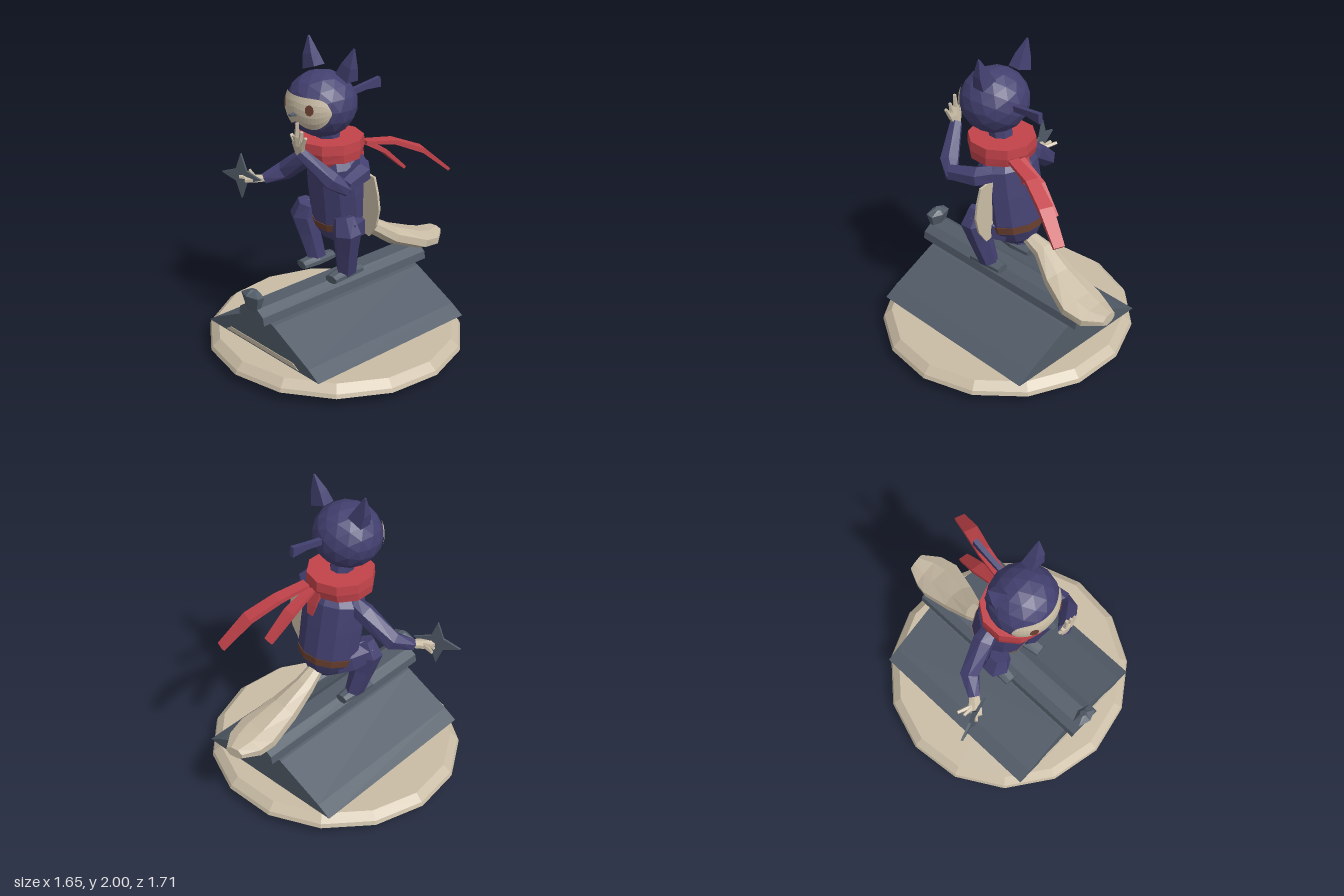
import * as THREE from 'three';

const mat = (name, color) => Object.assign(new THREE.MeshStandardMaterial({ color }), { name });
const V = (x, y, z) => new THREE.Vector3(x, y, z);
const UP_Y = V(0, 1, 0), UP_Z = V(0, 0, 1);

// Split the vertices so every facet is flat
function flat(geo) {
  const g = geo.index ? geo.toNonIndexed() : geo;
  g.computeVertexNormals();
  return g;
}

// Faceted solid through sections [x, y, z, halfWidth, halfHeight]
function loft(sections, sides, up = UP_Y) {
  const centers = sections.map(s => V(s[0], s[1], s[2]));
  const pos = [], idx = [], k = 1 / Math.cos(Math.PI / sides), last = sections.length - 1;
  centers.forEach((c, i) => {
    const t = centers[Math.min(i + 1, last)].clone().sub(centers[Math.max(i - 1, 0)]).normalize();
    const side = up.clone().cross(t).normalize(), over = t.clone().cross(side);
    for (let j = 0; j < sides; j++) {
      const a = ((j + 0.5) / sides) * Math.PI * 2;
      const p = c.clone().addScaledVector(side, Math.cos(a) * sections[i][3] * k)
        .addScaledVector(over, Math.sin(a) * (sections[i][4] ?? sections[i][3]) * k);
      pos.push(p.x, p.y, p.z);
    }
  });
  const first = pos.length / 3, end = first + 1;
  pos.push(...centers[0].toArray(), ...centers[last].toArray());
  for (let j = 0; j < sides; j++) {
    const n = (j + 1) % sides;
    for (let i = 0; i < last; i++) {
      const a = i * sides + j, b = i * sides + n;
      idx.push(a, b, b + sides, a, b + sides, a + sides);
    }
    idx.push(first, n, j, end, last * sides + j, last * sides + n);
  }
  const g = new THREE.BufferGeometry();
  g.setAttribute('position', new THREE.Float32BufferAttribute(pos, 3));
  g.setIndex(idx);
  return flat(g);
}

function extrude(points, depth, z) {
  const shape = new THREE.Shape(points.map(p => new THREE.Vector2(p[0], p[1])));
  return flat(new THREE.ExtrudeGeometry(shape, { depth, bevelEnabled: false }).translate(0, 0, z));
}

export function createModel() {
  const root = new THREE.Group();
  root.name = 'ninjaCatOnRoof';
  const navy = mat('navy cloth', 0x434070), red = mat('red scarf', 0xc2434a);
  const tan = mat('tan', 0xc9bca5), slate = mat('slate', 0x525c68), brown = mat('brown', 0x6a4030);
  const add = (name, geo, material) => {
    const m = new THREE.Mesh(geo, material);
    m.name = name;
    root.add(m);
    return m;
  };

  // Round base
  const basePoints = [[0, 0], [0.72, 0], [0.83, 0.06], [0.82, 0.085], [0.77, 0.13], [0, 0.13]];
  const base = new THREE.LatheGeometry(basePoints.map(p => new THREE.Vector2(...p)), 15);
  add('base', flat(base.scale(1, 1, 0.985).translate(0, 0, 0.03)), tan);

  // Roof with ridge beam and end finials
  add('roof', extrude([[-0.53, 0.15], [0.53, 0.15], [0.44, 0.205], [0.12, 0.365], [0, 0.4],
    [-0.12, 0.365], [-0.44, 0.205]], 1.24, -0.6), slate);
  add('gableTrim', extrude([[-0.35, 0.16], [0.35, 0.16], [0.3, 0.19], [-0.3, 0.19]], 0.006, 0.638), tan);
  add('ridgeBeam', extrude([[-0.12, 0.39], [0.12, 0.39], [0.11, 0.44], [0.055, 0.478],
    [-0.055, 0.478], [-0.11, 0.44]], 1.38, -0.67), slate);
  for (const z of [0.695, -0.65]) {
    add('finial', loft([[0, 0.45, z, 0.05, 0.02], [0, 0.555, z, 0.078, 0.045],
      [0, 0.585, z - 0.01, 0.02, 0.02]], 6, UP_Z), slate);
  }

  // Leaning body and belt
  const lean = y => -0.05 + 0.14 * (y - 0.72);
  const trunk = rows => loft(rows.map(([y, w, h]) => [0, y, lean(y), w, h]), 12, UP_Z);
  add('body', trunk([[0.71, 0.07, 0.08], [0.76, 0.135, 0.14], [0.83, 0.18, 0.17], [0.89, 0.195, 0.178],
    [1.08, 0.2, 0.17], [1.25, 0.195, 0.16], [1.32, 0.14, 0.12]]), navy);
  add('belt', trunk([[0.835, 0.187, 0.175], [0.885, 0.199, 0.182]]), brown);
  add('neck', loft([[0, 1.3, 0.06, 0.07], [0, 1.48, 0.1, 0.07]], 8, UP_Z), navy);

  // Scarf, its lower fold and its tails
  add('scarf', loft([[0, 1.305, 0.075, 0.2, 0.19], [0, 1.36, 0.075, 0.205, 0.205],
    [0, 1.42, 0.075, 0.2, 0.2]], 10, UP_Z), red);
  add('scarfFold', loft([[0, 1.275, 0.05, 0.12, 0.16], [0, 1.33, 0.06, 0.15, 0.17]], 10, UP_Z), red);
  add('scarfFlap', loft([[0.02, 1.34, -0.12, 0.04, 0.015], [0.03, 1.25, -0.14, 0.035, 0.015],
    [0.035, 1.18, -0.155, 0.02, 0.01]], 4, UP_Z), red);
  add('longScarfTail', loft([[0.1, 1.355, -0.12, 0.035, 0.01], [0.15, 1.325, -0.32, 0.042, 0.014],
    [0.22, 1.245, -0.5, 0.045, 0.016], [0.285, 1.09, -0.67, 0.035, 0.01]], 4), red);
  add('shortScarfTail', loft([[0.05, 1.345, -0.13, 0.03, 0.01], [0.07, 1.25, -0.3, 0.042, 0.014],
    [0.1, 1.105, -0.455, 0.032, 0.01]], 4), red);

  // Head
  const hc = V(0, 1.637, 0.135), hr = V(0.219, 0.203, 0.213);
  const onHead = (x, y, grow) => {
    const z = Math.sqrt(Math.max(0, 1 - (x / hr.x) ** 2 - (y / hr.y) ** 2)) * hr.z;
    return V(x, y, z).multiplyScalar(grow).add(hc);
  };
  add('head', flat(new THREE.IcosahedronGeometry(1, 2).scale(hr.x, hr.y, hr.z).translate(hc.x, hc.y, hc.z)), navy);

  // Face opening: a patch wrapped over the head, with a dip at the mouth mask
  const face = new THREE.PlaneGeometry(2, 1, 20, 5), fp = face.attributes.position;
  for (let i = 0; i < fp.count; i++) {
    const t = fp.getX(i), v = fp.getY(i) + 0.5, az = t * 1.1;
    const round = Math.sqrt(Math.max(0.02, 1 - t ** 6));
    const top = 0.086 * round, bottom = -(0.066 + 0.04 * Math.sin(Math.PI * Math.abs(t))) * round;
    const y = bottom + (top - bottom) * v, ring = Math.sqrt(1 - (y / hr.y) ** 2);
    const p = V(Math.sin(az) * ring * hr.x, y, Math.cos(az) * ring * hr.z).multiplyScalar(1.02).add(hc);
    fp.setXYZ(i, p.x, p.y, p.z);
  }
  add('face', flat(face), tan);
  add('nose', loft([[0, 1.612, 0.34, 0.022, 0.012], [0, 1.615, 0.385, 0.012, 0.006]], 5), slate);

  // Eyes, ears and legs, mirrored
  for (const s of [1, -1]) {
    const eye = add('eye', flat(new THREE.CircleGeometry(0.029, 9).scale(0.95, 1.15, 1)), brown);
    eye.position.copy(onHead(s * 0.105, 0.02, 1.04));
    eye.lookAt(eye.position.clone().multiplyScalar(2).sub(hc));

    add('ear', loft([[s * 0.145, 1.815, 0.07, 0.055, 0.042], [s * 0.172, 1.89, 0.07, 0.04, 0.03],
      [s * 0.2, 1.995, 0.06, 0.004, 0.004]], 4, UP_Z), navy);

    add('thigh', loft([[s * 0.09, 0.83, -0.07, 0.07, 0.08], [s * 0.14, 0.85, 0.0, 0.08, 0.085],
      [s * 0.2, 0.87, 0.13, 0.065, 0.065]], 6), navy);
    add('shin', loft([[s * 0.17, 0.94, 0.11, 0.055, 0.055], [s * 0.2, 0.85, 0.115, 0.082, 0.075],
      [s * 0.175, 0.73, 0.095, 0.068, 0.065], [s * 0.14, 0.55, 0.06, 0.05, 0.06]], 6, UP_Z), navy);
    add('foot', loft([[s * 0.13, 0.535, -0.055, 0.04, 0.026], [s * 0.13, 0.54, 0.08, 0.055, 0.034],
      [s * 0.14, 0.532, 0.19, 0.045, 0.025]], 8), slate);
  }

  // Headband end at the back of the head
  add('headbandTail', loft([[0.03, 1.66, -0.04, 0.015, 0.018], [0.04, 1.682, -0.18, 0.015, 0.02],
    [0.05, 1.69, -0.29, 0.015, 0.032]], 4), navy);

  // Right arm held out to the side
  add('rightArm', loft([[-0.15, 1.25, 0.03, 0.045, 0.05], [-0.23, 1.215, 0.04, 0.06, 0.055],
    [-0.41, 1.07, 0.09, 0.055, 0.055], [-0.485, 1.02, 0.2, 0.035, 0.032]], 6), navy);
  add('rightHand', loft([[-0.475, 1.025, 0.19, 0.028, 0.02], [-0.53, 1.02, 0.25, 0.04, 0.02],
    [-0.56, 1.02, 0.3, 0.03, 0.014]], 6), tan);
  for (const [x, z] of [[-0.63, 0.2], [-0.615, 0.24], [-0.59, 0.32]]) {
    add('finger', loft([[-0.52, 1.02, 0.24, 0.014], [x, 1.035, z, 0.009]], 5), tan);
  }

  // Throwing star
  const star = [];
  for (let i = 0; i < 8; i++) {
    const r = i % 2 ? 0.058 : 0.152, a = (i * Math.PI) / 4;
    star.push([Math.cos(a) * r, Math.sin(a) * r]);
  }
  const throwingStar = add('throwingStar', extrude(star, 0.014, -0.007), slate);
  throwingStar.position.set(-0.592, 1.035, 0.297);
  throwingStar.rotation.y = 0.29;

  // Left arm folded up in front of the mouth
  add('leftUpperArm', loft([[0.17, 1.25, -0.02, 0.05, 0.05], [0.24, 1.235, 0.04, 0.06, 0.055],
    [0.29, 1.21, 0.22, 0.045, 0.045]], 6), navy);
  add('leftForearm', loft([[0.305, 1.185, 0.2, 0.035, 0.035], [0.25, 1.25, 0.28, 0.055, 0.05],
    [0.09, 1.41, 0.385, 0.034, 0.032]], 6), navy);
  add('leftHand', loft([[0.085, 1.4, 0.385, 0.026, 0.018], [0.09, 1.46, 0.395, 0.045, 0.02],
    [0.085, 1.515, 0.4, 0.035, 0.016]], 6, UP_Z), tan);
  for (const [x0, y0, x, y] of [[0.08, 1.5, 0.085, 1.595], [0.06, 1.48, 0.03, 1.515],
    [0.11, 1.48, 0.125, 1.55], [0.12, 1.45, 0.16, 1.52]]) {
    add('finger', loft([[x0, y0, 0.398, 0.014], [x, y, 0.4, 0.009]], 5, UP_Z), tan);
  }

  // Membrane under the left arm
  add('sideMembrane', extrude([[0.17, 0.82], [0.25, 0.8], [0.31, 0.89], [0.335, 1.0], [0.32, 1.1],
    [0.29, 1.2], [0.17, 1.22]], 0.016, -0.038), tan);

  // Bushy tail
  add('tail', loft([[0, 0.78, -0.14, 0.045, 0.035], [-0.015, 0.72, -0.27, 0.065, 0.05],
    [0.01, 0.615, -0.43, 0.105, 0.058], [0.035, 0.535, -0.63, 0.145, 0.058],
    [0.035, 0.51, -0.74, 0.125, 0.052], [0.02, 0.52, -0.85, 0.06, 0.03]], 8), tan);

  return root;
}
